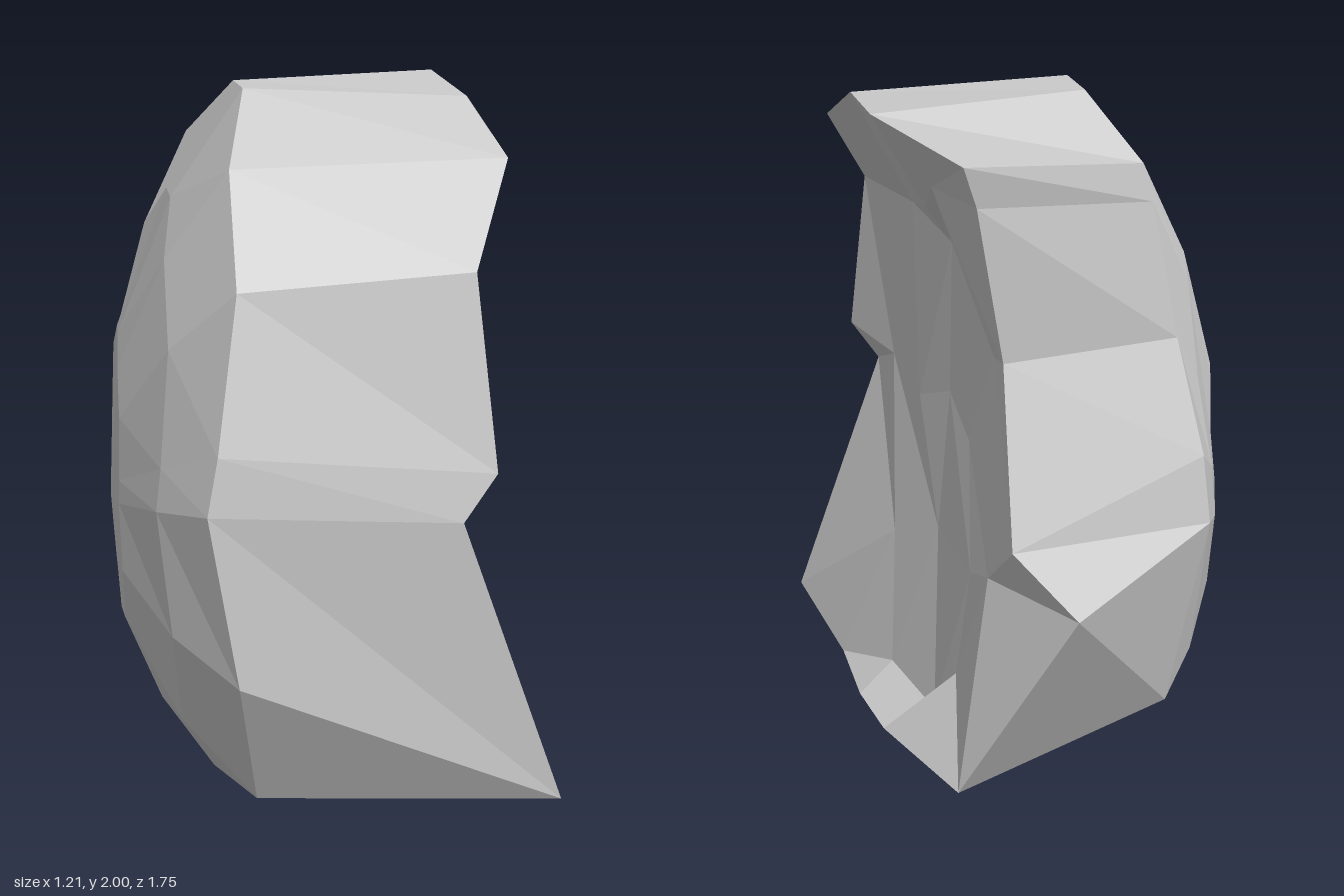
import * as THREE from 'three';

// Points of the broken, slightly hollow side
const A = [0.23, 1.58, 0.4], B = [0.15, 1.54, 0.04], C = [0.24, 1.68, -0.09];
const D = [0.25, 1.8, -0.36], E = [0.08, 1.31, -0.36], G = [0.28, 1.03, 0.6];
const H = [0.31, 0.52, 0.33], I = [0.2, 0.64, 0.04], J = [0.13, 1.0, -0.18];
const K = [0.15, 0.66, -0.36], L = [0.12, 0.71, -0.52], M = [0.19, 0.32, -0.32];
const N = [0.23, 1.0, 0.26], U = [0.34, 0.14, 0.16], W = [0.24, 0.13, -0.17];

// One row per spoke around the stone: [rim, back edge, hollow, core]
const spokes = [
  // top
  [[0.41, 2.0, -0.35], [-0.22, 2.0, -0.07], C, B],
  [[0.43, 1.97, 0.15], [-0.21, 2.0, 0.17], C, B],
  [[0.43, 1.97, 0.15], [-0.21, 2.0, 0.17], A, B],
  // front, going down
  [[0.48, 1.84, 0.51], [-0.27, 1.81, 0.45], A, B],
  [[0.35, 1.58, 0.78], [-0.27, 1.52, 0.7], A, B],
  [[0.4, 1.06, 0.87], [-0.33, 1.1, 0.79], G, N],
  [[0.31, 0.93, 0.88], [-0.36, 0.94, 0.8], G, N],
  [[0.6, 0.12, 0.86], [-0.28, 0.46, 0.82], H, I],
  [[0.6, 0.12, 0.86], [-0.22, 0.05, 0.62], H, I],
  // bottom
  [[0.48, 0.04, 0.46], [-0.22, 0.05, 0.62], H, I],
  [[0.45, 0.06, 0.1], [-0.32, 0, 0.27], U, I],
  [[0.4, 0.1, -0.22], [-0.32, 0, 0.27], W, I],
  [[0.22, 0.09, -0.62], [-0.37, 0.08, -0.13], M, K],
  [[0.22, 0.09, -0.62], [-0.44, 0.2, -0.34], M, K],
  // back, going up
  [[-0.08, 0.72, -0.87], [-0.54, 0.8, -0.42], L, K],
  [[0.08, 0.87, -0.73], [-0.52, 1.0, -0.4], L, J],
  [[0.08, 1.35, -0.55], [-0.46, 1.32, -0.28], E, J],
  [[0.16, 1.8, -0.63], [-0.38, 1.72, -0.28], D, B],
  [[0.2, 1.92, -0.68], [-0.35, 1.83, -0.28], D, B],
];
const bulgeCentre = [-0.605, 0.75, -0.1];
const hollowCentre = [0.16, 1.08, 0.04];

// Slides a back-edge point toward the bulge centre, with its own rate in x
function bulge(p, t, tx) {
  return p.map((v, k) => v + (bulgeCentre[k] - v) * (k === 0 ? tx : t));
}

// Joins consecutive closed rings with flat triangles, skipping collapsed ones
function loft(rings) {
  const out = [];
  const same = (p, q) => p.every((v, k) => Math.abs(v - q[k]) < 1e-6);
  const tri = (p, q, r) => {
    if (!same(p, q) && !same(q, r) && !same(r, p)) out.push(...p, ...q, ...r);
  };
  for (let s = 0; s < rings.length - 1; s++) {
    const a = rings[s], b = rings[s + 1];
    for (let i = 0; i < a.length; i++) {
      const j = (i + 1) % a.length;
      tri(a[i], a[j], b[j]);
      tri(a[i], b[j], b[i]);
    }
  }
  const geometry = new THREE.BufferGeometry();
  geometry.setAttribute('position', new THREE.Float32BufferAttribute(out, 3));
  geometry.computeVertexNormals();
  return geometry;
}

export function createModel() {
  const group = new THREE.Group();
  group.name = 'rockShard';
  const material = new THREE.MeshStandardMaterial({
    color: 0xcccccc, flatShading: true, side: THREE.DoubleSide,
  });
  const column = (k) => spokes.map((s) => s[k]);
  const add = (name, rings) => {
    const mesh = new THREE.Mesh(loft(rings), material);
    mesh.name = name;
    group.add(mesh);
  };

  const edge = column(1), rim = column(0);
  // Rounded outer side of the stone
  add('bulgingSide', [
    spokes.map(() => bulgeCentre),
    edge.map((p) => bulge(p, 0.58, 0.92)),
    edge.map((p) => bulge(p, 0.25, 0.52)),
    edge,
  ]);
  // Broad band of facets around the perimeter
  add('outerBand', [edge, rim]);
  // Shallow broken hollow
  add('hollowSide', [rim, column(2), column(3), spokes.map(() => hollowCentre)]);
  return group;
}
